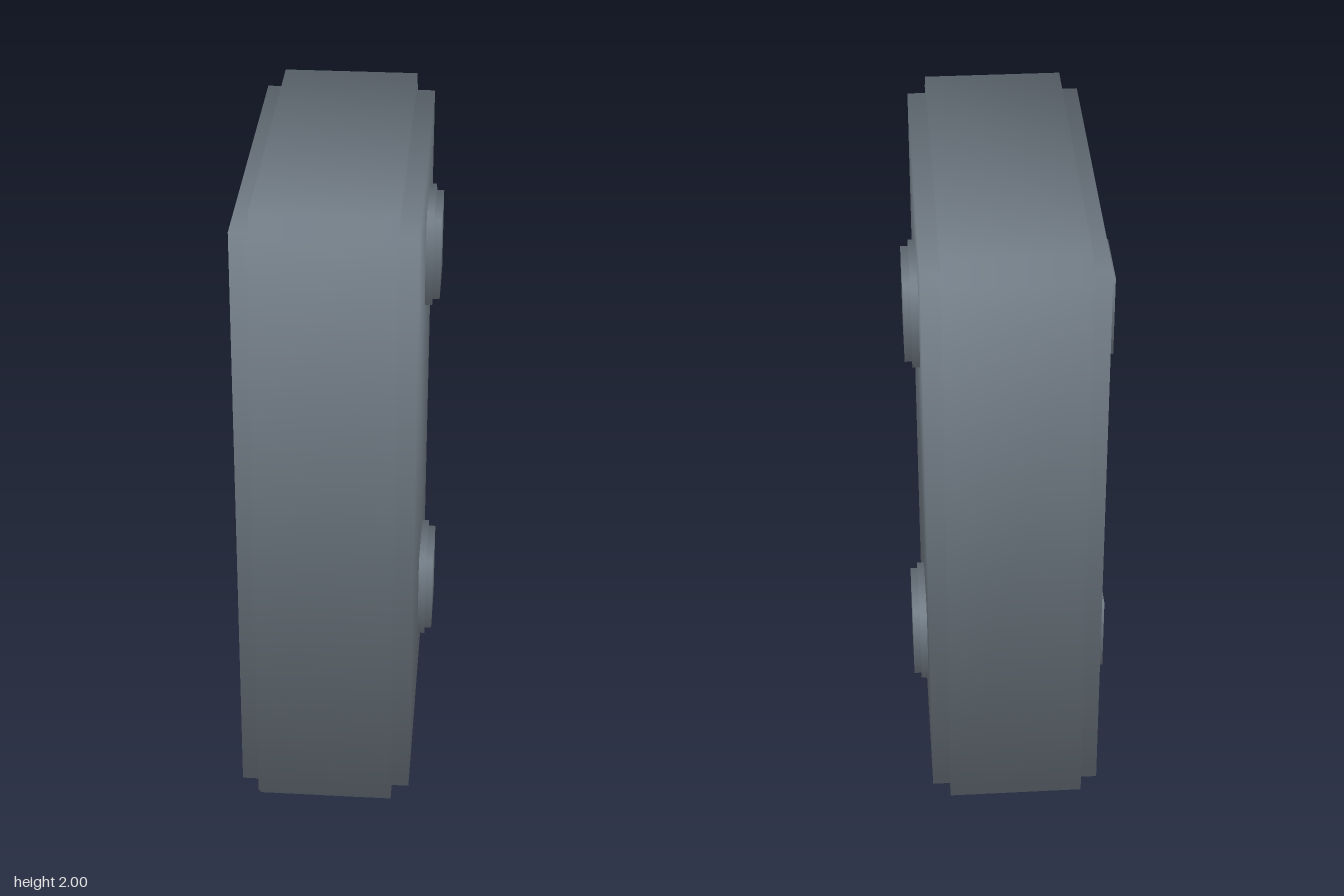
import * as THREE from 'three';

// Block whose twelve edges are stepped inwards: a core box with a thin raised
// plate on each of its six sides, with softly rounded (corner-averaged) normals.
function steppedBlock(inner, outer) {
  const positions = [], normals = [], index = [];
  const ring = [[-1, -1], [1, -1], [1, 1], [-1, 1]];

  const quad = (corners) => {
    const first = positions.length / 3;
    for (const p of corners) {
      positions.push(...p);
      normals.push(...p.map((c) => Math.sign(c) / Math.sqrt(3)));
    }
    index.push(first, first + 1, first + 2, first, first + 2, first + 3);
  };

  for (let axis = 0; axis < 3; axis++) {
    const u = (axis + 1) % 3, v = (axis + 2) % 3;
    for (const side of [1, -1]) {
      const order = side > 0 ? ring : [...ring].reverse();
      const corner = (k, depth) => {
        const [su, sv] = order[k % 4];
        const p = [0, 0, 0];
        p[axis] = side * depth[axis];
        p[u] = su * inner[u];
        p[v] = sv * inner[v];
        return p;
      };
      // Plate face, then its four rims
      quad([0, 1, 2, 3].map((k) => corner(k, outer)));
      for (let k = 0; k < 4; k++) {
        quad([corner(k, inner), corner(k + 1, inner), corner(k + 1, outer), corner(k, outer)]);
      }
    }
  }

  const geometry = new THREE.BufferGeometry();
  geometry.setAttribute('position', new THREE.Float32BufferAttribute(positions, 3));
  geometry.setAttribute('normal', new THREE.Float32BufferAttribute(normals, 3));
  geometry.setIndex(index);
  return geometry;
}

export function createModel() {
  const model = new THREE.Group();
  model.name = 'steppedSlab';

  const slateGrey = new THREE.MeshStandardMaterial({ color: 0x76818b });
  slateGrey.name = 'slateGrey';

  // Tall main slab
  const body = new THREE.Mesh(steppedBlock([0.205, 0.945, 0.532], [0.26, 1, 0.587]), slateGrey);
  body.name = 'body';
  body.position.y = 1;
  model.add(body);

  // Two pads on each broad side, set into the body
  const padGeometry = steppedBlock([0.083, 0.13, 0.108], [0.105, 0.152, 0.13]);
  for (const [sideName, side] of [['left', 1], ['right', -1]]) {
    for (const [level, y] of [['Upper', 1.61], ['Lower', 0.396]]) {
      const pad = new THREE.Mesh(padGeometry, slateGrey);
      pad.name = `${sideName}${level}Pad`;
      pad.position.set(side * 0.199, y, -0.132);
      model.add(pad);
    }
  }

  return model;
}
